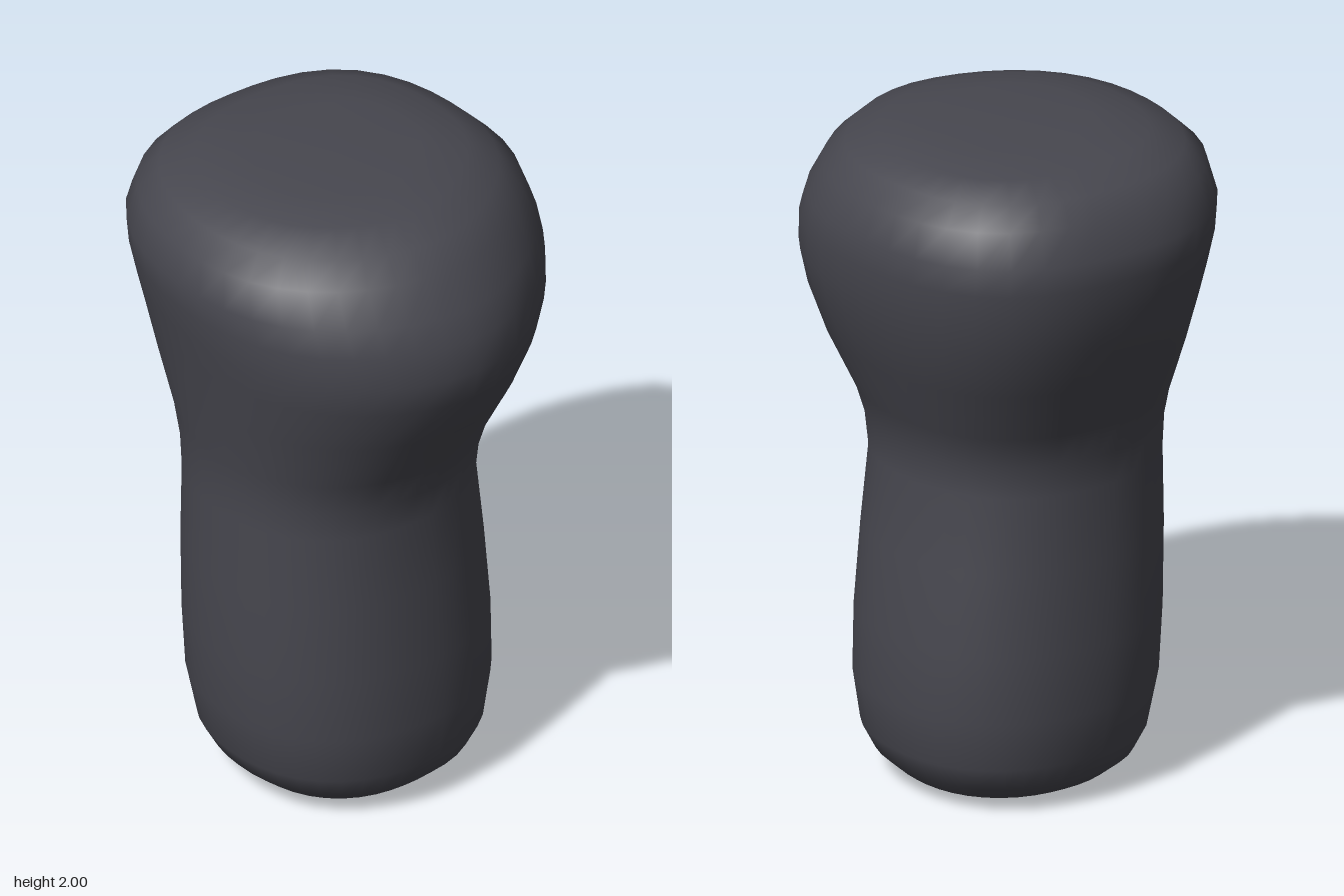
import * as THREE from 'three';

// Cross-sections from bottom to top: y, x min, x max, z min (back), z max (front)
const SECTIONS = [
  [0, -0.19, 0.19, -0.2, 0.19],
  [0.03, -0.3, 0.3, -0.31, 0.29],
  [0.08, -0.36, 0.355, -0.37, 0.345],
  [0.15, -0.4, 0.39, -0.4, 0.38],
  [0.3, -0.43, 0.413, -0.425, 0.4],
  [0.5, -0.443, 0.41, -0.427, 0.4],
  [0.75, -0.449, 0.387, -0.42, 0.395],
  [0.98, -0.445, 0.36, -0.413, 0.388],
  [1.08, -0.45, 0.37, -0.42, 0.4],
  [1.18, -0.462, 0.4, -0.45, 0.435],
  [1.35, -0.495, 0.48, -0.53, 0.535],
  [1.5, -0.525, 0.53, -0.585, 0.61],
  [1.6, -0.547, 0.552, -0.61, 0.632],
  [1.7, -0.565, 0.565, -0.627, 0.615],
  [1.78, -0.57, 0.56, -0.625, 0.58],
  [1.88, -0.545, 0.53, -0.58, 0.51],
  [1.94, -0.48, 0.47, -0.525, 0.44],
  [1.98, -0.38, 0.39, -0.43, 0.33],
  [2, -0.24, 0.25, -0.27, 0.2],
];
const SIDES = 40;

// Closed loft through rounded rings; the head is fuller at the back than at the front
function loftGeometry() {
  const pos = [], idx = [];
  for (const [y, x0, x1, z0, z1] of SECTIONS) {
    const head = THREE.MathUtils.smoothstep(y, 1, 1.5);
    for (let i = 0; i < SIDES; i++) {
      const a = (i / SIDES) * Math.PI * 2, c = Math.cos(a), s = Math.sin(a);
      const n = THREE.MathUtils.lerp(2.25, 2.175 - 0.28 * s - 0.125 * Math.sin(2 * a), head);
      const r = Math.pow(Math.abs(c) ** n + Math.abs(s) ** n, -1 / n);
      pos.push((x0 + x1) / 2 + (r * c * (x1 - x0)) / 2, y, (z0 + z1) / 2 + (r * s * (z1 - z0)) / 2);
    }
  }
  const rings = SECTIONS.length, bottom = rings * SIDES, top = bottom + 1;
  pos.push(0, 0, 0, 0, 2, -0.03);
  for (let i = 0; i < SIDES; i++) {
    const j = (i + 1) % SIDES, last = (rings - 1) * SIDES;
    for (let k = 0; k < rings - 1; k++) {
      const a = k * SIDES + i, b = k * SIDES + j;
      idx.push(a, a + SIDES, b, b, a + SIDES, b + SIDES);
    }
    idx.push(bottom, i, j, top, last + j, last + i);
  }
  const g = new THREE.BufferGeometry();
  g.setAttribute('position', new THREE.Float32BufferAttribute(pos, 3));
  g.setIndex(idx);
  g.computeVertexNormals();
  return g;
}

export function createModel() {
  const group = new THREE.Group();
  const charcoal = new THREE.MeshStandardMaterial({ color: 0x47474f });
  charcoal.name = 'charcoal';
  // Shaft and bulging head are one continuous skin
  const knob = new THREE.Mesh(loftGeometry(), charcoal);
  knob.name = 'knob';
  group.add(knob);
  return group;
}
